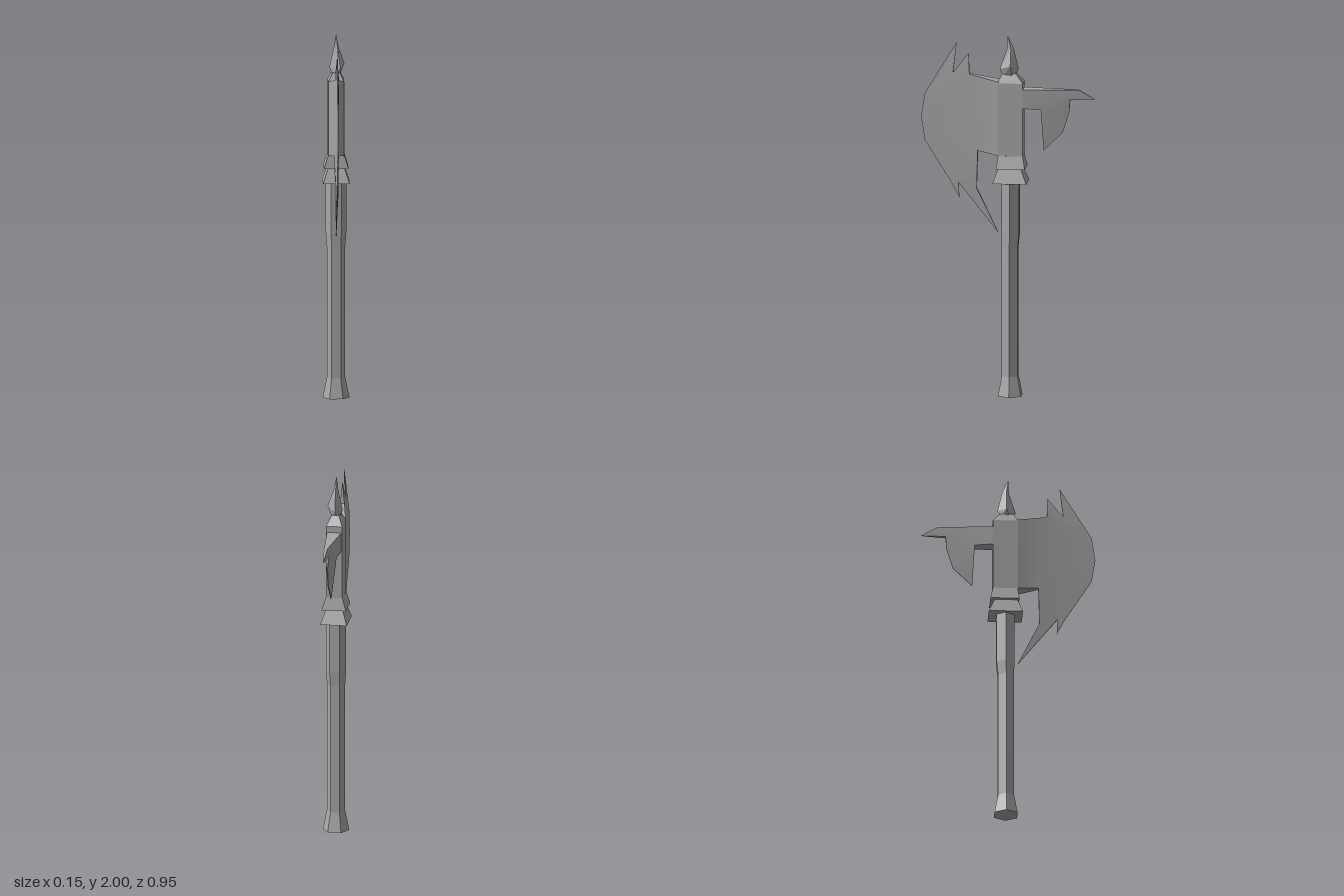
import * as THREE from 'three';
import { mergeGeometries } from 'three/addons/utils/BufferGeometryUtils.js';

const steel = new THREE.MeshStandardMaterial({ color: 0xa8a8a8 });
steel.name = 'grey steel';

function geometryFrom(positions) {
  const g = new THREE.BufferGeometry();
  g.setAttribute('position', new THREE.Float32BufferAttribute(positions, 3));
  return g;
}

// Faceted solid through a stack of rings (equal point counts), capped at both ends
function loft(rings) {
  const out = [];
  const n = rings[0].length;
  for (let r = 0; r < rings.length - 1; r++) {
    for (let i = 0; i < n; i++) {
      const j = (i + 1) % n;
      const [a, b, c, d] = [rings[r][i], rings[r][j], rings[r + 1][j], rings[r + 1][i]];
      out.push(...a, ...b, ...c, ...a, ...c, ...d);
    }
  }
  const last = rings[rings.length - 1];
  for (let i = 1; i < n - 1; i++) {
    out.push(...rings[0][0], ...rings[0][i + 1], ...rings[0][i]);
    out.push(...last[0], ...last[i], ...last[i + 1]);
  }
  const g = geometryFrom(out);
  g.computeVertexNormals();
  return g;
}

const rect = (y, x, zBack, zFront) => [[x, y, zFront], [x, y, zBack], [-x, y, zBack], [-x, y, zFront]];
const hex = (y, r, zc = -0.007) => Array.from({ length: 6 }, (_, i) => {
  const a = (i * Math.PI) / 3;
  return [r * Math.cos(a), y, zc - r * Math.sin(a)];
});

// Mirrored plate: points are [z, y, half thickness]; open edges get a flat rim
function plate(points, tris) {
  const n = points.length;
  const sides = geometryFrom([1, -1].flatMap(s => points.flatMap(([z, y, t]) => [s * t, y, z])));
  const index = [];
  const edges = new Map();
  for (const tri of tris) {
    let [a, b, c] = tri;
    const [A, B, C] = tri.map(i => points[i]);
    const facing = (B[1] - A[1]) * (C[0] - A[0]) - (B[0] - A[0]) * (C[1] - A[1]);
    if (facing < 0) [b, c] = [c, b];
    index.push(a, b, c, a + n, c + n, b + n);
    for (const [p, q] of [[a, b], [b, c], [c, a]]) {
      if (!edges.delete(q + '_' + p)) edges.set(p + '_' + q, [p, q]);
    }
  }
  sides.setIndex(index);
  sides.computeVertexNormals();
  const at = (i, s) => [s * points[i][2], points[i][1], points[i][0]];
  const rim = [];
  for (const [a, b] of edges.values()) {
    rim.push(...at(b, 1), ...at(a, 1), ...at(a, -1), ...at(b, 1), ...at(a, -1), ...at(b, -1));
  }
  const rimGeometry = geometryFrom(rim);
  rimGeometry.computeVertexNormals();
  return mergeGeometries([sides.toNonIndexed(), rimGeometry]);
}

export function createModel() {
  const group = new THREE.Group();
  group.name = 'battleAxe';
  const add = (name, geometry) => {
    const mesh = new THREE.Mesh(geometry, steel);
    mesh.name = name;
    group.add(mesh);
  };

  // Six-sided handle with flared foot and thicker grip at the top
  add('handle', loft([hex(0, 0.073), hex(0.11, 0.05), hex(0.83, 0.05), hex(0.91, 0.056, -0.01), hex(1.2, 0.056, -0.01)]));

  // Two flared collars
  add('lowerCollar', loft([rect(1.19, 0.073, -0.103, 0.083), rect(1.27, 0.045, -0.07, 0.055)]));
  add('upperCollar', loft([rect(1.27, 0.067, -0.094, 0.064), rect(1.34, 0.045, -0.08, 0.055)]));

  // Head block with chamfered top
  add('headBlock', loft([rect(1.34, 0.044, -0.08, 0.057), rect(1.745, 0.044, -0.08, 0.057), rect(1.795, 0.02, -0.04, 0.035)]));

  // Crooked four-sided finial
  add('finial', loft([
    [[0.018, 1.78, 0.03], [0.022, 1.78, -0.02], [-0.01, 1.78, -0.035], [-0.022, 1.78, 0.01]],
    [[0.022, 1.82, 0.048], [0.046, 1.84, -0.012], [0, 1.82, -0.053], [-0.036, 1.82, -0.005]],
    [[0.008, 1.93, 0.01], [0.014, 1.93, -0.012], [0, 1.93, -0.027], [-0.012, 1.93, -0.005]],
    [[0.001, 2, 0.007], [0.001, 2, 0.005], [-0.001, 2, 0.005], [-0.001, 2, 0.007]],
  ]));

  // Front blade: thick root, thin crescent, horns above and below
  add('axeBlade', plate([
    [0.05, 1.75, 0.044], [0.05, 1.34, 0.044],
    [0.215, 1.785, 0.012], [0.17, 1.36, 0.013], [0.175, 1.15, 0.009],
    [0.22, 1.9, 0.001], [0.305, 1.79, 0.007], [0.285, 1.96, 0.001],
    [0.46, 1.67, 0.001], [0.48, 1.54, 0.001], [0.46, 1.41, 0.001],
    [0.31, 1.17, 0.001], [0.27, 1.09, 0.001], [0.275, 1.18, 0.005], [0.055, 0.9, 0.001],
  ], [
    [0, 2, 3], [0, 3, 1], [2, 5, 6], [6, 7, 8], [2, 6, 8], [2, 8, 9], [2, 9, 3],
    [3, 9, 10], [3, 10, 11], [3, 11, 13], [11, 12, 13], [3, 13, 4], [4, 13, 14],
  ]));

  // Rear beak with its hanging hook
  add('rearHook', plate([
    [-0.07, 1.71, 0.04], [-0.07, 1.605, 0.04], [-0.177, 1.6, 0.029],
    [-0.38, 1.71, 0.009], [-0.47, 1.66, 0.001], [-0.335, 1.655, 0.012],
    [-0.33, 1.585, 0.003], [-0.295, 1.47, 0.002], [-0.19, 1.367, 0.002],
  ], [
    [0, 1, 2], [0, 2, 3], [2, 5, 3], [3, 5, 4], [2, 6, 5], [2, 7, 6], [2, 8, 7],
  ]));

  return group;
}
